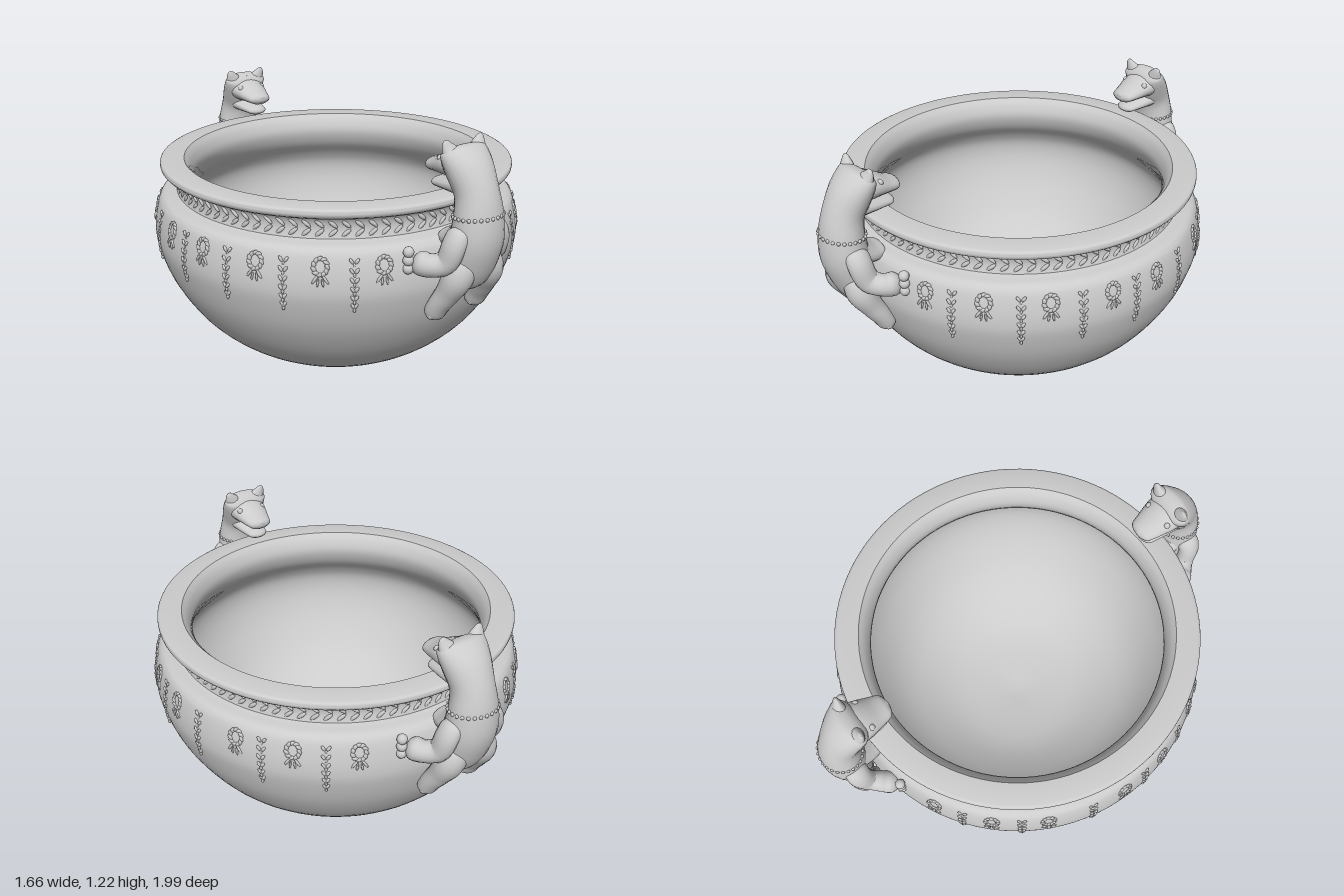
import * as THREE from 'three';
import { mergeGeometries, toCreasedNormals } from 'three/addons/utils/BufferGeometryUtils.js';

const material = new THREE.MeshStandardMaterial({ color: 0xcccccc, roughness: 0.8 });

function add(parent, name, geometry) {
  const mesh = new THREE.Mesh(geometry, material);
  mesh.name = name;
  parent.add(mesh);
}

const curve2 = (pts, n) => new THREE.SplineCurve(pts.map(p => new THREE.Vector2(...p))).getPoints(n);

// Rounded limb: stations are [x, y, z, half width, half depth] along a smooth path
function loft(stations, rings = 28, sides = 18, round = 0.14) {
  const path = new THREE.CatmullRomCurve3(stations.map(s => new THREE.Vector3(s[0], s[1], s[2])));
  const radii = new THREE.CatmullRomCurve3(stations.map(s => new THREE.Vector3(s[3], s[4], 0)));
  const pos = [], index = [];
  for (let i = 0; i <= rings; i++) {
    const u = (1 - Math.cos(Math.PI * i / rings)) / 2;
    const end = Math.min(1, Math.min(u, 1 - u) / round);
    const k = Math.max(0.01, Math.sqrt(1 - (1 - end) ** 2));
    const c = path.getPoint(u), t = path.getTangent(u), r = radii.getPoint(u);
    const s = new THREE.Vector3(1, 0, 0).addScaledVector(t, -t.x).normalize();
    const n = t.clone().cross(s);
    for (let j = 0; j < sides; j++) {
      const a = 2 * Math.PI * j / sides;
      const p = c.clone().addScaledVector(s, Math.cos(a) * r.x * k).addScaledVector(n, Math.sin(a) * r.y * k);
      pos.push(p.x, p.y, p.z);
      if (i < rings) {
        const q = (j + 1) % sides, a0 = i * sides + j, b0 = i * sides + q;
        index.push(a0, b0, a0 + sides, b0, b0 + sides, a0 + sides);
      }
    }
  }
  const g = new THREE.BufferGeometry();
  g.setAttribute('position', new THREE.Float32BufferAttribute(pos, 3));
  g.setIndex(index);
  g.computeVertexNormals();
  return g;
}

// Outer belly, shared by the bowl and by the relief that sits on it
const belly = curve2([[0.05, 0], [0.15, 0.012], [0.31, 0.052], [0.5, 0.145], [0.655, 0.28], [0.765, 0.45],
  [0.817, 0.6], [0.824, 0.69], [0.805, 0.785], [0.78, 0.825], [0.735, 0.836]], 48);

function bellyRadius(y) {
  const i = Math.max(1, belly.findIndex(p => p.y >= y));
  const a = belly[i - 1], b = belly[i];
  return THREE.MathUtils.lerp(a.x, b.x, (y - a.y) / (b.y - a.y));
}

function makeBowl() {
  const neck = curve2([[0.72, 0.84], [0.71, 0.88], [0.72, 0.92], [0.745, 0.935]], 8);
  const lip = curve2([[0.76, 0.935], [0.782, 0.95], [0.783, 0.972], [0.77, 0.98]], 8);
  const inside = curve2([[0.68, 0.978], [0.655, 0.945], [0.641, 0.89], [0.665, 0.82], [0.72, 0.75], [0.75, 0.68],
    [0.742, 0.58], [0.69, 0.45], [0.59, 0.3], [0.46, 0.19], [0.28, 0.105], [0, 0.065]], 44);
  const profile = [new THREE.Vector2(0, 0), ...belly, ...neck, ...lip, ...inside];
  return toCreasedNormals(new THREE.LatheGeometry(profile, 96), 0.6);
}

// Place a small piece on the outside at an angle around the bowl (0 = front)
function wrap(g, angle, radius, y) {
  return g.translate(0, y, radius).rotateY(angle);
}

function leaf(length, width, tilt) {
  return new THREE.SphereGeometry(1, 7, 5).scale(width, length, 0.007).rotateZ(tilt);
}

// Two rows of slanted leaves meeting in a herringbone
function makeNeckBand() {
  const parts = [];
  const count = 88;
  for (let i = 0; i < count; i++) {
    const a = 2 * Math.PI * i / count;
    for (const s of [-1, 1]) parts.push(wrap(leaf(0.024, 0.009, s * 0.85), a, 0.713, 0.88 + s * 0.018));
  }
  return mergeGeometries(parts);
}

// Ring of small leaves with two ribbon tails
function wreath(angle) {
  const parts = [], y = 0.765;
  const put = (g, dx, h) => parts.push(wrap(g, angle + dx / 0.81, bellyRadius(h), h));
  for (let i = 0; i < 11; i++) {
    const a = 2 * Math.PI * i / 11;
    put(leaf(0.014, 0.009, a + 0.4), Math.cos(a) * 0.026, y + Math.sin(a) * 0.03);
  }
  for (const s of [-1, 1]) {
    put(leaf(0.022, 0.006, s * 0.6), s * 0.02, y - 0.048);
    put(leaf(0.018, 0.005, s * 0.15), s * 0.009, y - 0.06);
  }
  return parts;
}

// Hanging chain of buds
function pendant(angle) {
  const parts = [];
  for (let i = 0; i < 6; i++) {
    const y = 0.785 - i * 0.036, r = bellyRadius(y);
    for (const s of [-1, 1]) {
      parts.push(wrap(leaf(0.014, 0.007, -s * 0.6), angle + s * (0.013 - i * 0.0014), r, y));
    }
    parts.push(wrap(leaf(0.011, 0.006, 0), angle, r, y - 0.016));
  }
  return parts;
}

// Animal climbing the front of the bowl and looking over the rim
function makeAnimal() {
  const animal = new THREE.Group();
  add(animal, 'body', loft([[0, 0.63, 0.86, 0.075, 0.05], [0, 0.74, 0.885, 0.105, 0.08], [0, 0.85, 0.903, 0.112, 0.093],
    [0, 0.95, 0.903, 0.1, 0.086], [0, 1.03, 0.885, 0.088, 0.08], [0, 1.1, 0.848, 0.1, 0.077],
    [0, 1.15, 0.815, 0.109, 0.062], [0, 1.187, 0.79, 0.105, 0.04]], 44, 24, 0.08));
  // Chest resting on the shoulder of the bowl
  add(animal, 'chest', loft([[0, 0.87, 0.88, 0.095, 0.06], [0, 0.83, 0.81, 0.085, 0.045], [0, 0.815, 0.74, 0.06, 0.03]]));
  add(animal, 'muzzle', loft([[0, 1.115, 0.86, 0.09, 0.06], [0, 1.115, 0.78, 0.088, 0.055],
    [0, 1.095, 0.7, 0.068, 0.034], [0, 1.083, 0.64, 0.05, 0.024]]));
  add(animal, 'lowerJaw', loft([[0, 1.045, 0.87, 0.075, 0.045], [0, 1.033, 0.77, 0.064, 0.03],
    [0, 1.02, 0.668, 0.044, 0.018]]));
  add(animal, 'nose', new THREE.SphereGeometry(0.02, 12, 8).scale(1.3, 0.7, 0.8).translate(0, 1.095, 0.655));

  const beads = [];
  for (let i = 0; i < 26; i++) {
    const a = 2 * Math.PI * i / 26;
    beads.push(new THREE.SphereGeometry(0.008, 7, 5)
      .translate(Math.cos(a) * 0.1, 0.945 + Math.sin(a) * 0.01, 0.902 + Math.sin(a) * 0.086));
  }
  add(animal, 'collar', mergeGeometries(beads));

  for (const s of [-1, 1]) {
    const side = s > 0 ? 'left' : 'right';
    add(animal, side + 'Ear', loft([[s * 0.06, 1.11, 0.825, 0.045, 0.045], [s * 0.068, 1.165, 0.812, 0.041, 0.032],
      [s * 0.083, 1.198, 0.803, 0.024, 0.016], [s * 0.092, 1.22, 0.8, 0.01, 0.006]], 18, 14));
    add(animal, side + 'Eye', new THREE.SphereGeometry(0.014, 12, 8).translate(s * 0.06, 1.135, 0.748));
    add(animal, side + 'Foreleg', loft([[s * 0.075, 0.905, 0.895, 0.04, 0.05], [s * 0.112, 0.85, 0.9, 0.042, 0.05],
      [s * 0.13, 0.775, 0.878, 0.04, 0.048], [s * 0.165, 0.755, 0.835, 0.046, 0.046],
      [s * 0.212, 0.772, 0.785, 0.05, 0.055]]));
    add(animal, side + 'Hindleg', loft([[s * 0.05, 0.79, 0.885, 0.055, 0.055], [s * 0.078, 0.71, 0.895, 0.065, 0.06],
      [s * 0.095, 0.63, 0.862, 0.054, 0.048], [s * 0.106, 0.57, 0.828, 0.05, 0.042],
      [s * 0.108, 0.505, 0.795, 0.046, 0.04]]));

    // Toes on both paws
    const toes = [];
    for (let i = -1; i <= 1; i++) {
      toes.push(new THREE.SphereGeometry(0.022, 10, 8).translate(s * 0.232, 0.775 + i * 0.034, 0.783));
      toes.push(new THREE.SphereGeometry(0.02, 10, 8).translate(s * (0.108 + i * 0.026), 0.53, 0.817));
    }
    add(animal, side + 'Toes', mergeGeometries(toes));
  }
  return animal;
}

export function createModel() {
  const model = new THREE.Group();
  model.name = 'bowlWithAnimalHandles';
  add(model, 'bowl', makeBowl());
  add(model, 'neckLeafBand', makeNeckBand());

  // Wreaths and hanging chains alternate between the handles, in degrees from the front
  const wreaths = [], pendants = [], rad = THREE.MathUtils.degToRad;
  for (const s of [-1, 1]) {
    for (const a of [23, 40, 58, 76, 92, 117, 134, 152]) wreaths.push(...wreath(s * rad(a)));
    for (const a of [31, 50, 67, 84, 103, 125, 143]) pendants.push(...pendant(s * rad(a)));
  }
  add(model, 'wreaths', mergeGeometries(wreaths));
  add(model, 'hangingChains', mergeGeometries(pendants));

  for (const [name, turn] of [['frontHandle', 0], ['backHandle', Math.PI]]) {
    const handle = makeAnimal();
    handle.name = name;
    handle.rotation.y = turn;
    model.add(handle);
  }
  return model;
}
